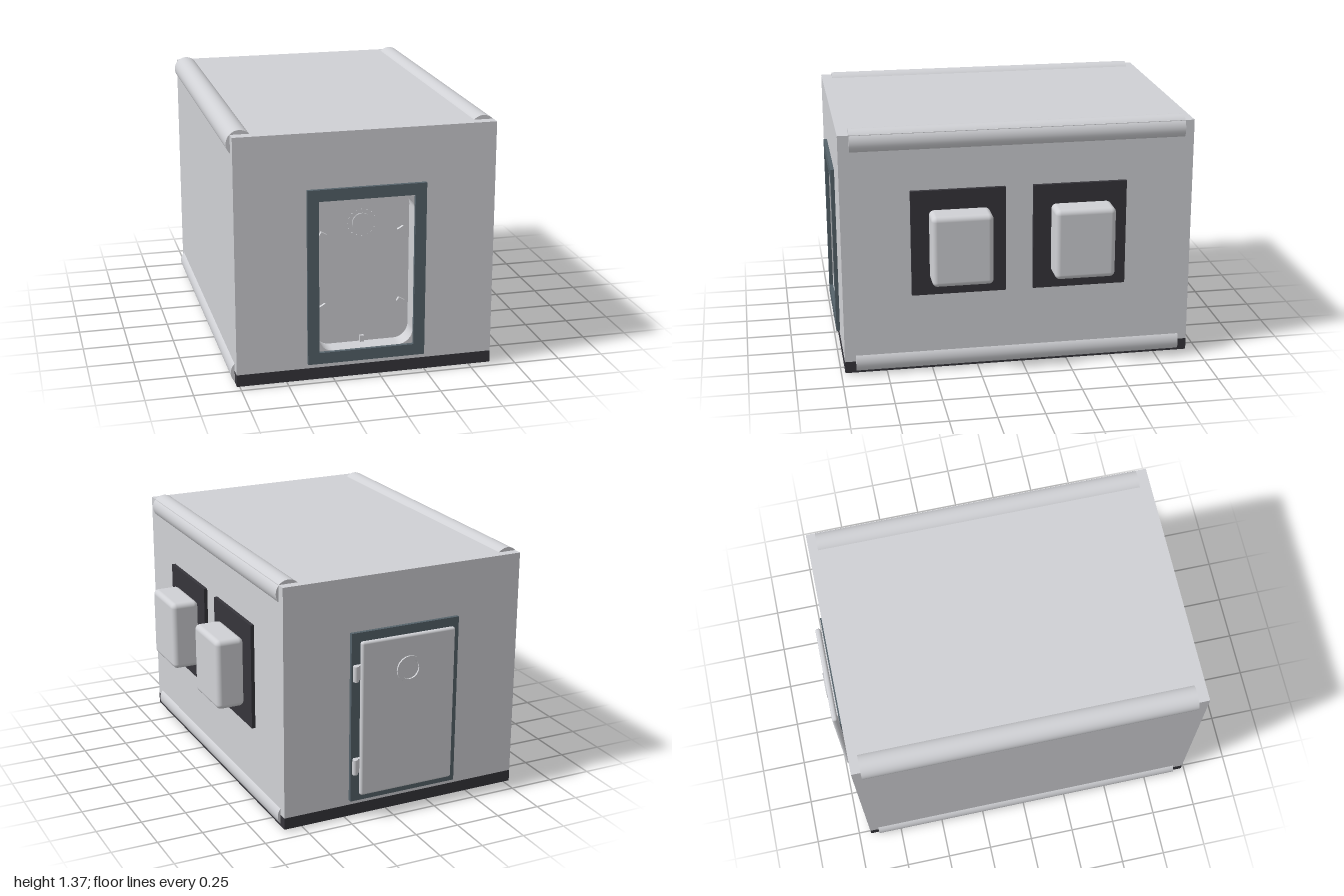
import * as THREE from 'three';
import { RoundedBoxGeometry } from 'three/addons/geometries/RoundedBoxGeometry.js';

const material = (name, color) => {
  const m = new THREE.MeshStandardMaterial({ color });
  m.name = name;
  return m;
};

// Rectangle outline with optional rounded corners
function outline(path, x0, x1, y0, y1, r = 0) {
  if (!r) {
    path.moveTo(x0, y0).lineTo(x1, y0).lineTo(x1, y1).lineTo(x0, y1).closePath();
    return path;
  }
  path.moveTo(x0 + r, y0);
  path.absarc(x1 - r, y0 + r, r, -Math.PI / 2, 0);
  path.absarc(x1 - r, y1 - r, r, 0, Math.PI / 2);
  path.absarc(x0 + r, y1 - r, r, Math.PI / 2, Math.PI);
  path.absarc(x0 + r, y0 + r, r, Math.PI, Math.PI * 1.5);
  path.closePath();
  return path;
}

export function createModel() {
  const model = new THREE.Group();
  model.name = 'shelterModule';
  const shell = material('light grey shell', 0xd0d1d5);
  const dark = material('charcoal', 0x36353b);
  const slate = material('slate frame', 0x55626a);

  const add = (name, geometry, mat, x = 0, y = 0, z = 0) => {
    const mesh = new THREE.Mesh(geometry, mat);
    mesh.name = name;
    mesh.position.set(x, y, z);
    model.add(mesh);
    return mesh;
  };
  const box = (name, mat, x0, x1, y0, y1, z0, z1) =>
    add(name, new THREE.BoxGeometry(x1 - x0, y1 - y0, z1 - z0), mat, (x0 + x1) / 2, (y0 + y1) / 2, (z0 + z1) / 2);
  const extrude = (name, shape, mat, z, depth) =>
    add(name, new THREE.ExtrudeGeometry(shape, { depth, bevelEnabled: false, curveSegments: 10 }), mat, 0, 0, z);

  // Cabin: floor plinth, main body, roof slab
  box('floorPlinth', dark, -0.77, 0.61, 0.015, 0.08, -0.93, 0.98);
  box('cabinBody', shell, -0.77, 0.61, 0.08, 1.3, -0.93, 0.88);
  box('roofSlab', shell, -0.77, 0.61, 1.3, 1.35, -0.93, 0.98);

  // Front wall with the rounded doorway cut through it
  const wall = outline(new THREE.Shape(), -0.77, 0.61, 0.08, 1.3);
  wall.holes.push(outline(new THREE.Path(), -0.335, 0.175, 0.168, 0.993, 0.08));
  extrude('frontWall', wall, shell, 0.88, 0.1);

  // Slate frames at both ends
  const frame = (name, z) => {
    const s = outline(new THREE.Shape(), -0.395, 0.235, 0.107, 1.055);
    s.holes.push(outline(new THREE.Path(), -0.335, 0.175, 0.168, 0.993));
    extrude(name, s, slate, z, 0.02);
  };
  frame('frontDoorFrame', 0.98);
  frame('rearDoorFrame', -0.95);

  // Recessed front hatch with latches around its edge
  box('frontHatch', shell, -0.335, 0.175, 0.168, 0.993, 0.875, 0.885);
  const latches = [
    [-0.08, 0.98, 0], [-0.08, 0.185, 0],
    [-0.29, 0.78, 1.05], [0.13, 0.78, -1.05],
    [-0.29, 0.383, -1.05], [0.13, 0.383, 1.05],
  ];
  for (const [x, y, angle] of latches) {
    add('hatchLatch', new THREE.BoxGeometry(0.022, 0.036, 0.02), shell, x, y, 0.893).rotation.z = angle;
  }

  // Round port with a circle of bolts on the front hatch
  const disc = (name, r, depth, x, y, z, sides = 32) => {
    add(name, new THREE.CylinderGeometry(r, r, depth, sides), shell, x, y, z).rotation.x = Math.PI / 2;
  };
  disc('hatchPort', 0.053, 0.008, -0.08, 0.828, 0.888);
  for (let i = 0; i < 16; i++) {
    const a = (i / 16) * Math.PI * 2;
    disc('portBolt', 0.004, 0.006, -0.08 + Math.cos(a) * 0.073, 0.828 + Math.sin(a) * 0.073, 0.887, 8);
  }

  // Rear door, its round port and hinges
  add('rearDoor', new RoundedBoxGeometry(0.55, 0.865, 0.03, 3, 0.013), shell, -0.08, 0.582, -0.975);
  box('rearDoorSeal', shell, -0.32, 0.16, 0.18, 0.98, -0.965, -0.93);
  const ring = new THREE.Shape();
  ring.absarc(-0.08, 0.828, 0.073, 0, Math.PI * 2);
  const ringHole = new THREE.Path();
  ringHole.absarc(-0.08, 0.828, 0.055, 0, Math.PI * 2);
  ring.holes.push(ringHole);
  extrude('rearPortRing', ring, shell, -1, 0.012);
  for (const y of [0.318, 0.843]) {
    add('hingePin', new THREE.CylinderGeometry(0.015, 0.015, 0.085, 16), shell, 0.222, y, -0.975);
    box('hingeLeaf', shell, 0.185, 0.222, y - 0.04, y + 0.04, -0.97, -0.945);
  }

  // Rounded rails along the four long edges
  for (const x of [-0.722, 0.557]) {
    for (const y of [0.07, 1.303]) {
      add('edgeRail', new THREE.CylinderGeometry(0.069, 0.069, 1.8, 40), shell, x, y, 0.02).rotation.x = Math.PI / 2;
    }
  }

  // Two equipment units on dark backing plates
  for (const [plateZ, unitZ] of [[0.355, 0.352], [-0.305, -0.306]]) {
    box('unitBackingPlate', dark, 0.61, 0.63, 0.45, 1.035, plateZ - 0.255, plateZ + 0.255);
    add('equipmentUnit', new RoundedBoxGeometry(0.157, 0.39, 0.327, 4, 0.028), shell, 0.7085, 0.74, unitZ);
  }

  return model;
}
